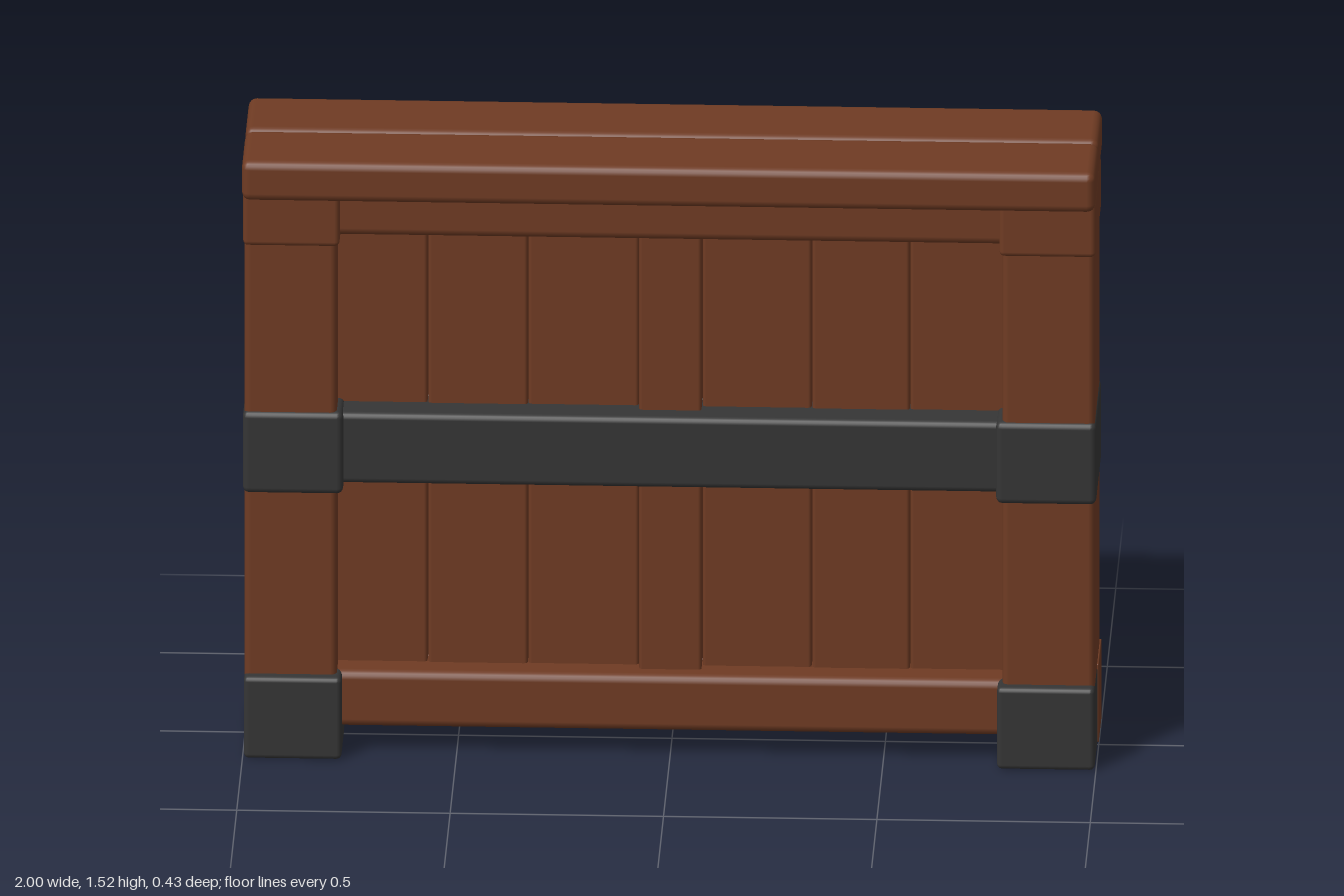
import * as THREE from 'three';
import { RoundedBoxGeometry } from 'three/addons/geometries/RoundedBoxGeometry.js';

export function createModel() {
  const wood = new THREE.MeshStandardMaterial({ color: 0x6f3b23 });
  wood.name = 'brown wood';
  const iron = new THREE.MeshStandardMaterial({ color: 0x353535 });
  iron.name = 'dark iron';

  const wall = new THREE.Group();
  wall.name = 'woodenWall';

  // Softly rounded block given by its extents
  function block(parent, name, material, [x0, x1], [y0, y1], [z0, z1], radius = 0.012) {
    const geometry = new RoundedBoxGeometry(x1 - x0, y1 - y0, z1 - z0, 2, radius);
    const mesh = new THREE.Mesh(geometry, material);
    mesh.position.set((x0 + x1) / 2, (y0 + y1) / 2, (z0 + z1) / 2);
    mesh.name = name;
    parent.add(mesh);
    return mesh;
  }

  // Seams between the upright planks; the middle plank stands proud
  const seams = [-0.79, -0.57, -0.335, -0.075, 0.073, 0.33, 0.56, 0.79];

  for (const side of [1, -1]) {
    const half = new THREE.Group();
    half.name = side > 0 ? 'frontHalf' : 'backHalf';
    const z = (a, b) => (side > 0 ? [a, b] : [-b, -a]);

    // Plank panel
    for (let i = 0; i < seams.length - 1; i++) {
      const depth = i === 3 ? 0.08 : 0.052 + 0.003 * (i % 2);
      block(half, 'plank', wood, [seams[i] + 0.001, seams[i + 1] - 0.001], [0.1, 1.36], z(0, depth), 0.008);
    }

    // Horizontal rails, iron band and top cap
    block(half, 'bottomRail', wood, [-0.8, 0.8], [0.065, 0.205], z(0, 0.125), 0.02);
    block(half, 'topRail', wood, [-0.8, 0.8], [1.3, 1.425], z(0, 0.125), 0.02);
    block(half, 'ironBand', iron, [-0.8, 0.8], [0.68, 0.857], z(0, 0.132), 0.015);
    block(half, 'topCap', wood, [-1, 1], [1.418, 1.517], z(0, 0.215), 0.02);

    // Corner posts with capitals and iron feet
    for (const end of [1, -1]) {
      const x = (a, b) => (end > 0 ? [a, b] : [-b, -a]);
      block(half, 'post', wood, x(0.78, 0.996), [0.15, 1.43], z(0, 0.145), 0.015);
      block(half, 'capital', wood, x(0.773, 0.999), [1.285, 1.425], z(0, 0.159));
      block(half, 'foot', iron, x(0.768, 0.997), [0, 0.205], z(0, 0.172));
      // Bare wooden end on the back feet
      if (side < 0) {
        block(half, 'footEndPlate', wood, x(0.992, 1), [0.004, 0.201], z(0.003, 0.168), 0.003);
      }
    }
    wall.add(half);
  }

  // Iron collars wrapping both halves of each post
  for (const end of [1, -1]) {
    const xs = end > 0 ? [0.765, 1] : [-1, -0.765];
    block(wall, 'ironCollar', iron, xs, [0.66, 0.865], [-0.154, 0.154], 0.015);
  }
  return wall;
}
